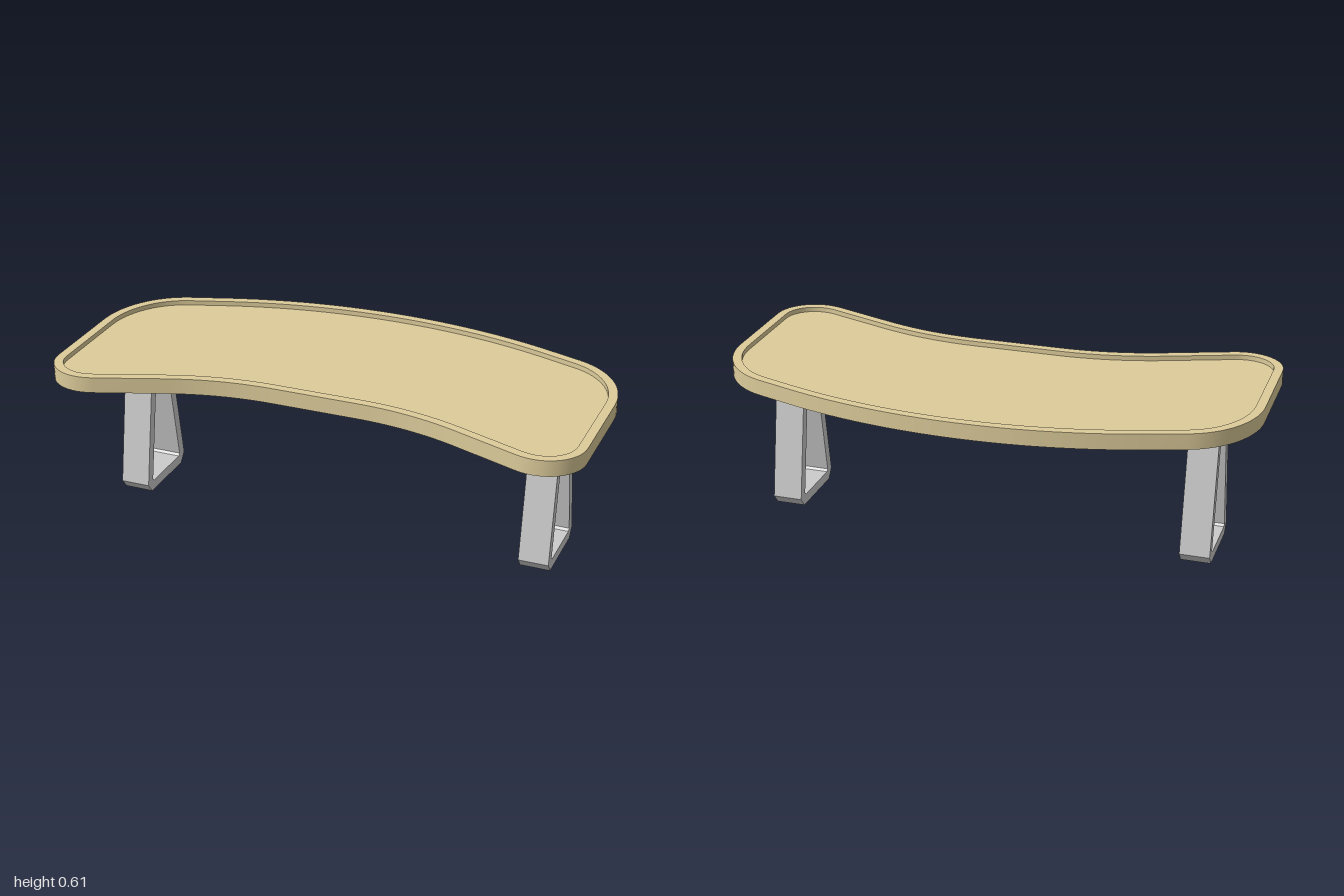
import * as THREE from 'three';
import { mergeGeometries, toCreasedNormals } from 'three/addons/utils/BufferGeometryUtils.js';

const TOP = 0.606, UNDERSIDE = 0.547, FLOOR = 0.588, RIM = 0.034;

// Curved outline in (x, z): right half drawn, left half mirrored
function outlinePoints() {
  const path = new THREE.Path();
  path.moveTo(0, -0.48);
  path.quadraticCurveTo(0.33, -0.48, 0.64, -0.38);
  path.lineTo(0.79, -0.33);
  path.bezierCurveTo(0.92, -0.285, 1, -0.155, 1, -0.02);
  path.lineTo(1, 0.33);
  path.bezierCurveTo(1, 0.43, 0.9, 0.503, 0.79, 0.463);
  path.lineTo(0.55, 0.375);
  path.quadraticCurveTo(0.36, 0.305, 0.16, 0.305);
  const half = path.getPoints(16);
  const mirrored = half.slice(1).reverse().map(p => new THREE.Vector2(-p.x, p.y));
  return [...half, ...mirrored];
}

// Move every outline point inwards along its normal
function inset(points, d) {
  const n = points.length;
  return points.map((p, i) => {
    const t = points[(i + 1) % n].clone().sub(points[(i + n - 1) % n]).normalize();
    return new THREE.Vector2(p.x - t.y * d, p.y + t.x * d);
  });
}

// Horizontal face at height y, facing up (dir 1) or down (dir -1)
function cap(points, y, dir) {
  const shape = new THREE.Shape(points.map(p => new THREE.Vector2(p.x, -dir * p.y)));
  const g = new THREE.ShapeGeometry(shape).rotateX(-dir * Math.PI / 2).translate(0, y, 0).toNonIndexed();
  g.deleteAttribute('uv');
  return g;
}

// Tabletop: outer wall, raised rim and recessed floor
function tabletopGeometry() {
  const outer = outlinePoints();
  const inner = inset(outer, RIM);
  const n = outer.length;
  const rows = [[outer, UNDERSIDE], [outer, TOP], [inner, TOP], [inner, FLOOR]];
  const positions = [], indices = [];
  rows.forEach(([points, y]) => points.forEach(p => positions.push(p.x, y, p.y)));
  for (let r = 0; r < rows.length - 1; r++) {
    for (let i = 0; i < n; i++) {
      const j = (i + 1) % n;
      const a = r * n + i, b = r * n + j, c = b + n, d = a + n;
      indices.push(a, d, b, b, d, c);
    }
  }
  const indexed = new THREE.BufferGeometry();
  indexed.setAttribute('position', new THREE.Float32BufferAttribute(positions, 3));
  indexed.setIndex(indices);
  const walls = indexed.toNonIndexed();
  walls.computeVertexNormals();
  return toCreasedNormals(mergeGeometries([walls, cap(outer, UNDERSIDE, -1), cap(inner, FLOOR, 1)]), 0.6);
}

// Tapered loop leg: (z, y) profile with an opening, extruded along x
function legGeometry(width) {
  const vectors = list => list.map(([z, y]) => new THREE.Vector2(z, y));
  const shape = new THREE.Shape(vectors([
    [0.157, 0], [0.185, 0.036], [0.1, UNDERSIDE], [-0.036, UNDERSIDE], [-0.122, 0.036], [-0.093, 0],
  ]));
  shape.holes.push(new THREE.Path(vectors([
    [0.138, 0.038], [0.146, 0.047], [0.064, 0.533], [0, 0.533], [-0.082, 0.047], [-0.074, 0.038],
  ])));
  return new THREE.ExtrudeGeometry(shape, { depth: width, bevelEnabled: false })
    .rotateY(-Math.PI / 2).translate(width / 2, 0, 0);
}

export function createModel() {
  const model = new THREE.Group();
  model.name = 'curvedTable';

  const tabletop = new THREE.Mesh(tabletopGeometry(), new THREE.MeshStandardMaterial({ color: 0xdccb9a }));
  tabletop.name = 'tabletop';
  model.add(tabletop);

  const grey = new THREE.MeshStandardMaterial({ color: 0xcccccc });
  const legShape = legGeometry(0.112);
  for (const side of [1, -1]) {
    const leg = new THREE.Mesh(legShape, grey);
    leg.name = side > 0 ? 'leftLeg' : 'rightLeg';
    leg.position.x = side * 0.793;
    model.add(leg);
  }
  return model;
}
